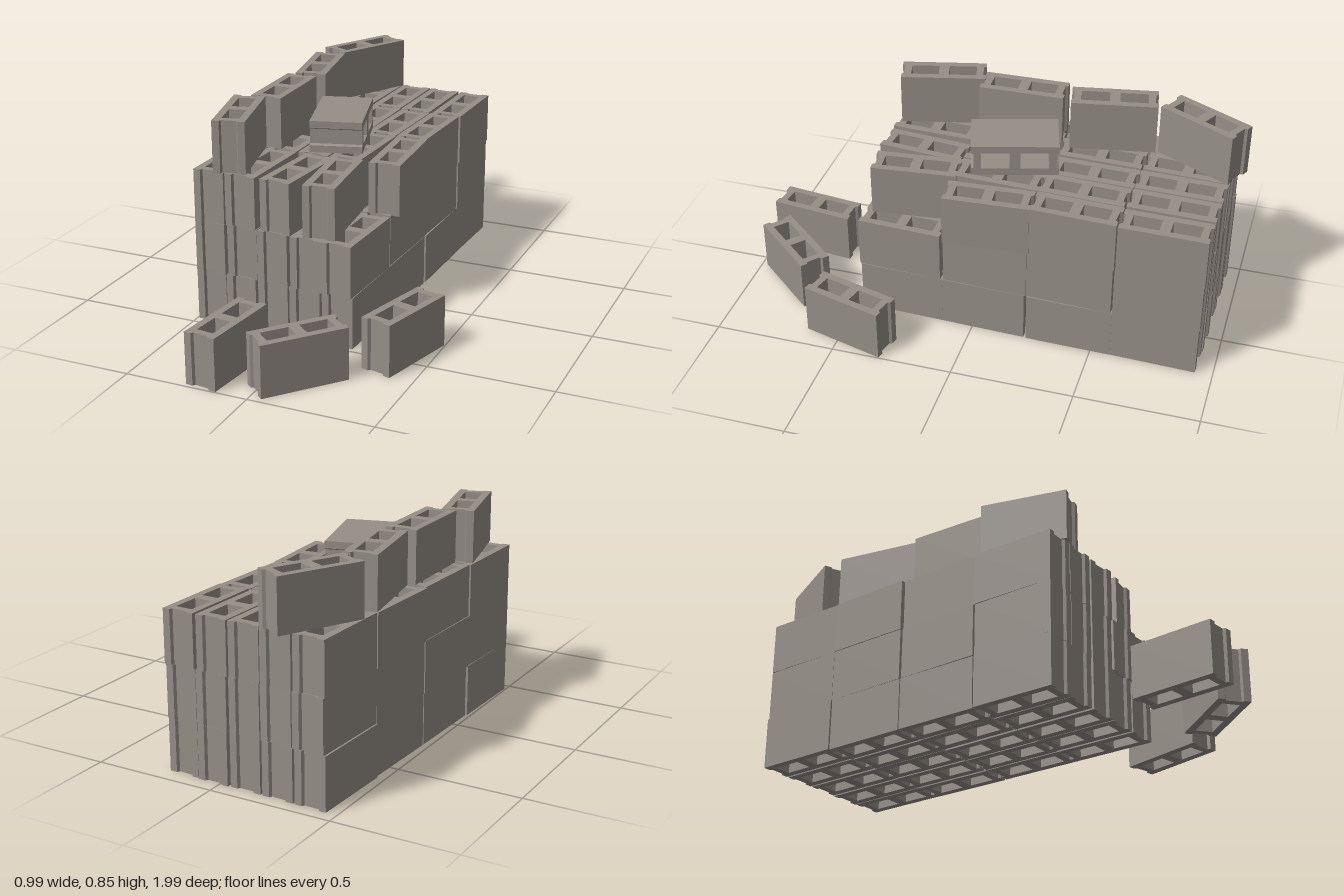
import * as THREE from 'three';

const LENGTH = 0.35, WIDTH = 0.13, HEIGHT = 0.2115;

// Two-celled masonry block: long axis z, cells open along y, base at y = 0
function blockGeometry() {
  const w = WIDTH / 2, l = LENGTH / 2, recess = 0.011;
  const shape = new THREE.Shape([
    [-w, -l], [-0.036, -l], [-0.03, -l + recess], [0.03, -l + recess], [0.036, -l], [w, -l],
    [w, l], [0.036, l], [0.03, l - recess], [-0.03, l - recess], [-0.036, l], [-w, l],
  ].map(([x, y]) => new THREE.Vector2(x, y)));
  for (const c of [-0.078, 0.078]) {
    const hw = 0.035, hl = 0.057;
    shape.holes.push(new THREE.Path([
      [-hw, c - hl], [-hw, c + hl], [hw, c + hl], [hw, c - hl],
    ].map(([x, y]) => new THREE.Vector2(x, y))));
  }
  const geometry = new THREE.ExtrudeGeometry(shape, { depth: HEIGHT, bevelEnabled: false });
  geometry.rotateX(-Math.PI / 2);
  return geometry;
}

// Small repeatable scatter between -1 and 1
function makeScatter(seed) {
  return () => {
    seed = (seed * 16807) % 2147483647;
    return (seed / 2147483647) * 2 - 1;
  };
}

export function createModel() {
  const model = new THREE.Group();
  model.name = 'blockPile';
  const concrete = new THREE.MeshStandardMaterial({ color: 0x958e87 });
  concrete.name = 'concrete grey';
  const geometry = blockGeometry();
  const scatter = makeScatter(4217);

  const addBlock = (parent, name, x, y, z, yaw) => {
    const block = new THREE.Mesh(geometry, concrete);
    block.name = name;
    block.position.set(x, y, z);
    block.rotation.y = yaw;
    parent.add(block);
    return block;
  };

  // Main stack: three layers of 5 x 4, slightly turned as a whole
  const stack = new THREE.Group();
  stack.name = 'stack';
  model.add(stack);
  const turn = -0.03;
  // Shifted blocks of the top layer, by column and row: x, z, yaw
  const shifted = {
    '2,3': [-0.127, 0.295, -0.09],
    '3,3': [0.02, 0.285, 0.1],
    '4,2': [0.153, -0.055, 0.06],
  };
  for (let layer = 0; layer < 3; layer++) {
    for (let row = 0; row < 4; row++) {
      for (let col = 0; col < 5; col++) {
        // The front corner block of the top layer has been taken away
        if (layer === 2 && row === 3 && col === 4) continue;
        const u = (col - 2) * 0.138 + scatter() * 0.004;
        const v = (row - 1.5) * 0.355 + scatter() * 0.004;
        let x = -0.133 + u * Math.cos(turn) + v * Math.sin(turn);
        let z = -0.235 - u * Math.sin(turn) + v * Math.cos(turn);
        let yaw = turn + scatter() * 0.014;
        const move = layer === 2 && shifted[`${col},${row}`];
        if (move) [x, z, yaw] = move;
        addBlock(stack, 'stackBlock', x, layer * HEIGHT, z, yaw);
      }
    }
  }

  // Untidy line of blocks on top, along the right edge
  for (const [x, z, yaw] of [
    [-0.32, -0.812, -0.48],
    [-0.365, -0.435, 0.18],
    [-0.355, -0.06, 0.02],
    [-0.378, 0.292, 0.24],
  ]) addBlock(model, 'topBlock', x, 3 * HEIGHT, z, yaw);

  // Block lying on its side on top of the stack
  const lying = new THREE.Group();
  lying.name = 'lyingBlock';
  lying.position.set(-0.11, 3 * HEIGHT + 0.003 + WIDTH / 2, -0.088);
  lying.rotation.y = 0.28;
  addBlock(lying, 'sidewaysBlock', HEIGHT / 2, 0, 0, 0).rotation.z = Math.PI / 2;
  model.add(lying);

  // Loose blocks on the ground in front
  for (const [x, z, yaw] of [
    [-0.175, 0.815, -0.11],
    [0.112, 0.803, -0.71],
    [0.388, 0.457, -0.26],
  ]) addBlock(model, 'looseBlock', x, 0, z, yaw);

  return model;
}
